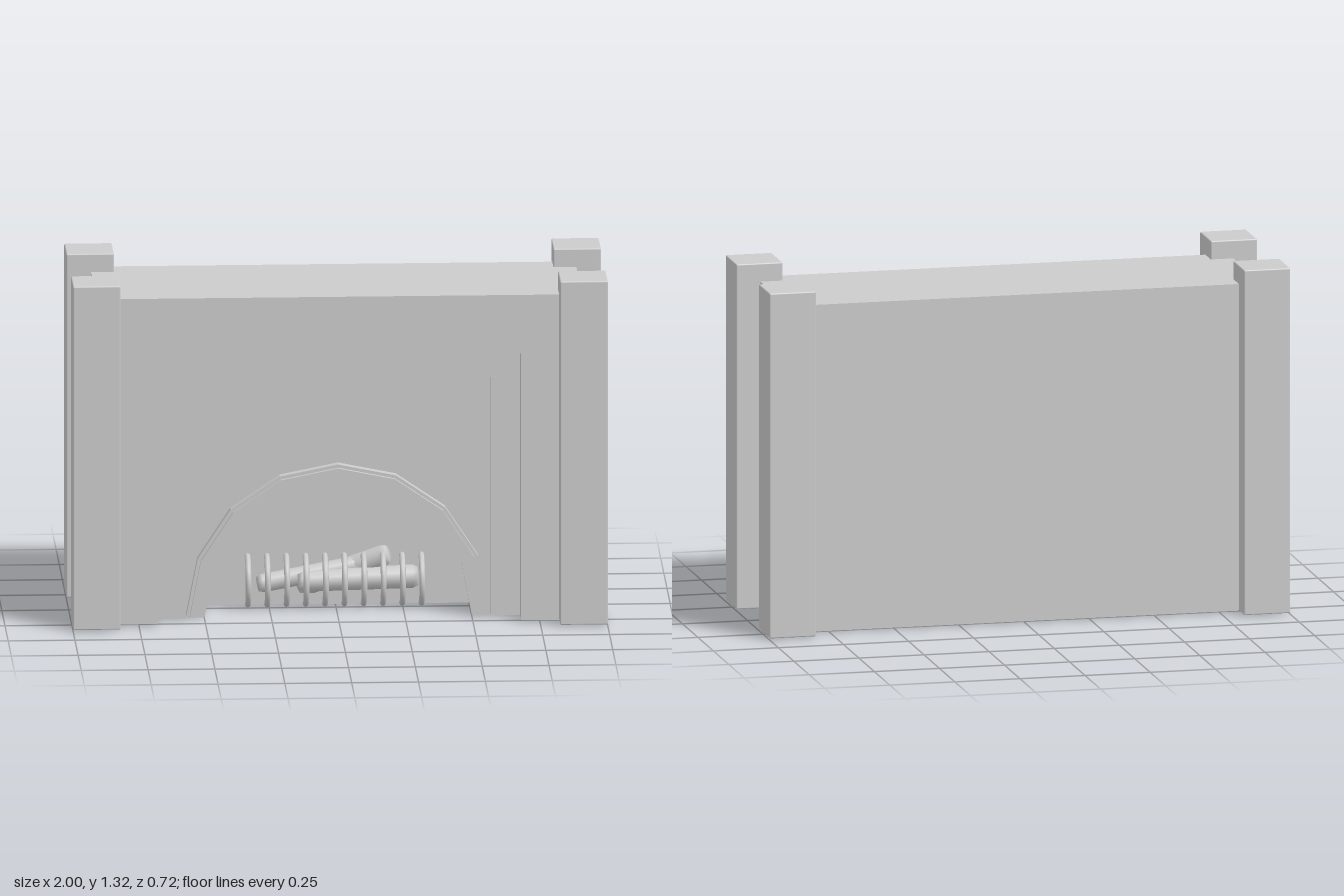
import * as THREE from 'three';
import { RoundedBoxGeometry } from 'three/addons/geometries/RoundedBoxGeometry.js';

const stone = new THREE.MeshStandardMaterial({ color: 0xcccccc });
const BASE = 0.007, TOP = 1.255, HALF = 0.908;

// Points of an eight-sided half ellipse, from left (-x) over the top to right
function archPoints(rx, ry, y0 = BASE) {
  const pts = [];
  for (let i = 0; i <= 8; i++) {
    const a = Math.PI * (1 - i / 8);
    pts.push(new THREE.Vector2(rx * Math.cos(a), y0 + ry * Math.sin(a)));
  }
  return pts;
}

function rectPoints(hw, top) {
  return [[-hw, BASE], [-hw, top], [hw, top], [hw, BASE]].map(p => new THREE.Vector2(...p));
}

// Slab outline with an opening cut upward from its bottom edge
function notched(opening, hw = HALF, top = TOP) {
  const outer = rectPoints(hw, top);
  return new THREE.Shape([...outer, ...opening.slice().reverse()]);
}

export function createModel() {
  const model = new THREE.Group();
  const add = (name, geo, parent = model) => {
    const mesh = new THREE.Mesh(geo, stone);
    mesh.name = name;
    parent.add(mesh);
    return mesh;
  };
  const slab = (name, shape, z0, z1) => {
    const geo = new THREE.ExtrudeGeometry(shape, { depth: z1 - z0, bevelEnabled: false });
    return add(name, geo.translate(0, 0, z0));
  };

  // Chimney body: slabs from back to front, each with a wider opening
  const firebox = new THREE.Shape(rectPoints(HALF, TOP));
  firebox.holes.push(new THREE.Path(archPoints(0.455, 0.44, 0.05)));
  slab('backWall', new THREE.Shape(rectPoints(HALF, TOP)), -0.272, -0.21);
  slab('fireboxWall', firebox, -0.21, -0.03);
  slab('archWall', notched(archPoints(0.5, 0.525)), -0.03, 0.12);
  slab('innerSurround', notched(rectPoints(0.57, 0.92)), 0.12, 0.18);
  slab('outerSurround', notched(rectPoints(0.68, 1.03)), 0.18, 0.27);

  // Raised arch trim with a chamfered outer edge
  const trim = (rx, ry) =>
    new THREE.Shape([...archPoints(rx, ry), ...archPoints(0.5, 0.525).reverse()]);
  slab('archTrim', trim(0.568, 0.578), 0.12, 0.155);
  slab('archTrimFace', trim(0.555, 0.566), 0.155, 0.17);

  // Corner pillars
  for (const sx of [-1, 1]) for (const sz of [-1, 1]) {
    const pillar = add('pillar', new RoundedBoxGeometry(0.178, 1.318, 0.178, 2, 0.005));
    pillar.position.set(sx * 0.911, BASE + 0.659, sz * 0.27);
  }

  // Fire grate: a row of half hoops bulging to the front
  const grate = new THREE.Group();
  grate.name = 'grate';
  model.add(grate);
  const hoop = new THREE.TorusGeometry(0.092, 0.011, 8, 16, Math.PI);
  hoop.rotateZ(-Math.PI / 2).rotateY(-Math.PI / 2);
  for (let i = 0; i < 10; i++) {
    add('grateBar', hoop, grate).position.set(-0.33 + i * 0.0722, 0.105, -0.02);
  }

  // Firewood: tapered logs laid between two points
  const logs = new THREE.Group();
  logs.name = 'logs';
  model.add(logs);
  const log = (a, b, r0, r1) => {
    const p = new THREE.Vector3(...a), q = new THREE.Vector3(...b);
    const d = q.clone().sub(p), len = d.length();
    const profile = [[0, 0], [r0 * 0.8, 0], [r0, 0.02], [r1, len - 0.02], [r1 * 0.8, len], [0, len]]
      .map(v => new THREE.Vector2(...v));
    const mesh = add('log', new THREE.LatheGeometry(profile, 12), logs);
    mesh.position.copy(p);
    mesh.quaternion.setFromUnitVectors(new THREE.Vector3(0, 1, 0), d.normalize());
  };
  log([-0.29, 0.075, -0.08], [0.16, 0.15, -0.12], 0.035, 0.035);
  log([-0.14, 0.085, -0.07], [0.31, 0.1, -0.08], 0.04, 0.045);
  log([-0.13, 0.045, -0.17], [0.2, 0.185, -0.09], 0.045, 0.04);

  return model;
}
